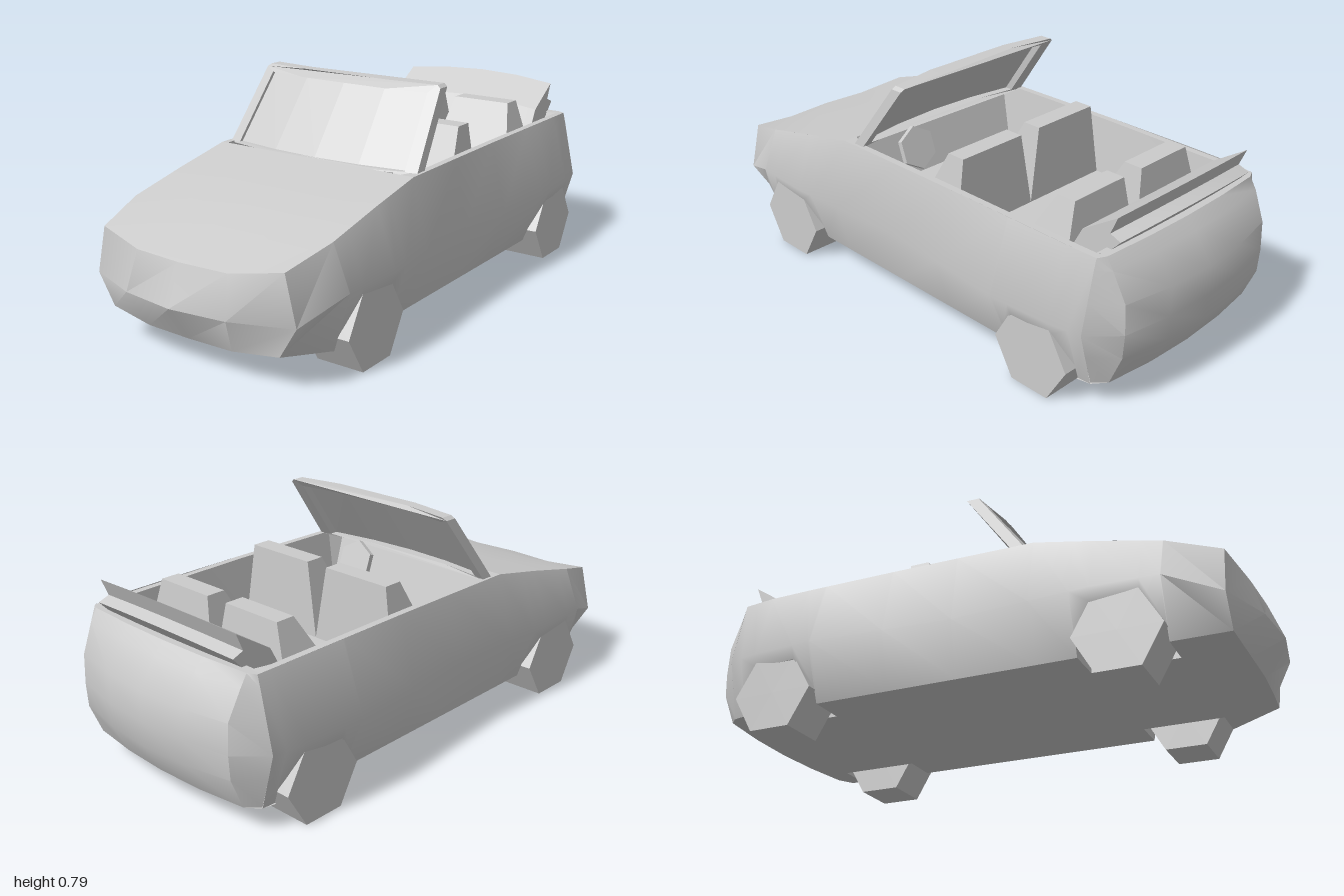
import * as THREE from 'three';
import { toCreasedNormals } from 'three/addons/utils/BufferGeometryUtils.js';

const material = new THREE.MeshStandardMaterial({ color: 0xcccccc, side: THREE.DoubleSide });

function add(parent, name, geometry) {
  const mesh = new THREE.Mesh(geometry, material);
  mesh.name = name;
  parent.add(mesh);
  return mesh;
}

// Skin a list of equally long rows of [x, y, z] points.
function skin(rows, crease = 0.8) {
  const n = rows[0].length, index = [];
  for (let i = 0; i < rows.length - 1; i++) {
    for (let j = 0; j < n - 1; j++) {
      const a = i * n + j, b = a + n;
      index.push(a, b, a + 1, a + 1, b, b + 1);
    }
  }
  const g = new THREE.BufferGeometry();
  g.setAttribute('position', new THREE.Float32BufferAttribute(rows.flat(2), 3));
  g.setIndex(index);
  return toCreasedNormals(g, crease);
}

// Body sections: z, rim x, rim y, widest x, widest y, sill x, sill y
const SECTIONS = [
  [0.9, 0.37, 0.385, 0.41, 0.22, 0.345, 0.115],
  [0.72, 0.41, 0.435, 0.47, 0.285, 0.41, 0.085],
  [0.5, 0.41, 0.485, 0.482, 0.285, 0.41, 0.085],
  [0.28, 0.41, 0.53, 0.468, 0.285, 0.41, 0.085],
  [0, 0.41, 0.533, 0.45, 0.285, 0.41, 0.085],
  [-0.25, 0.41, 0.535, 0.468, 0.285, 0.41, 0.085],
  [-0.52, 0.41, 0.535, 0.49, 0.285, 0.41, 0.085],
  [-0.73, 0.41, 0.535, 0.48, 0.285, 0.41, 0.085],
  [-0.87, 0.40, 0.53, 0.455, 0.285, 0.40, 0.085],
];
function section(z) {
  let i = 0;
  while (i < SECTIONS.length - 2 && z < SECTIONS[i + 1][0]) i++;
  const a = SECTIONS[i], b = SECTIONS[i + 1], t = (a[0] - z) / (a[0] - b[0]);
  return a.map((v, k) => v + (b[k] - v) * t);
}

const WHEEL_Z = [0.57, -0.675];
const ARCH = [[0.148, 0.085], [0.147, 0.14], [0.08, 0.24], [-0.08, 0.24], [-0.147, 0.14], [-0.148, 0.085]];
const WELL = 0.28;

// One flank, with the lower edge lifted over the wheels and wells behind it
function flank(s) {
  const stations = SECTIONS.map(r => [r[0], 0])
    .filter(([z]) => WHEEL_Z.every(w => Math.abs(z - w) > 0.148));
  for (const w of WHEEL_Z) for (const [dz, y] of ARCH) stations.push([w + dz, y]);
  stations.sort((a, b) => b[0] - a[0]);
  return skin(stations.map(([z, arch]) => {
    const [, rx, ry, mx, my, sx, sy] = section(z);
    const low = Math.max(arch, sy), x = sx + (mx - sx) * (low - sy) / (my - sy);
    const inner = arch ? WELL : x;
    return [[rx, ry, z], [mx, my, z], [x, low, z], [inner, low, z], [inner, sy, z]]
      .map(p => [p[0] * s, p[1], p[2]]);
  }));
}

const COLS = [-1, -0.5, 0, 0.5, 1];
const flat = (hw, y, z) => COLS.map(f => [f * hw, y, z]);
// Bowed row: half width, y and z at centre, y and z at the ends
const bow = (hw, yc, zc, ye, ze) =>
  COLS.map(f => [f * hw, Math.abs(f) < 1 ? yc : ye, zc + (ze - zc) * f * f]);

function buildBody(g) {
  add(g, 'leftFlank', flank(1));
  add(g, 'rightFlank', flank(-1));

  // Nose and hood
  const noseTop = bow(0.37, 0.355, 0.95, 0.385, 0.9);
  const noseLow = bow(0.345, 0.095, 0.92, 0.115, 0.9);
  add(g, 'nose', skin([noseTop, bow(0.41, 0.22, 1, 0.22, 0.9), noseLow]));
  add(g, 'hood', skin([flat(0.41, 0.53, 0.28), flat(0.41, 0.485, 0.5), flat(0.41, 0.435, 0.72), noseTop]));

  // Tail, with corner columns joining the flanks
  const tail = [
    [0.37, 0.53, -0.9, -0.885, 0.40], [0.37, 0.49, -0.935, -0.91, 0.41], [0.36, 0.39, -1, -0.955, 0.432],
    [0.36, 0.285, -1, -0.96, 0.455], [0.36, 0.2, -1, -0.955, 0.432], [0.36, 0.09, -0.94, -0.91, 0.40],
  ].map(([hw, y, zc, ze, cx]) => [[-cx, y, -0.87], ...bow(hw, y, zc, y, ze), [cx, y, -0.87]]);
  add(g, 'tail', skin(tail, 0.6));
  add(g, 'rearDeck', skin([tail[0].map(p => [p[0], 0.53, -0.85]), tail[0]]));

  // Underside, narrowed between the wheels
  const floor = [noseLow];
  for (const w of WHEEL_Z) {
    for (const [dz, hw] of [[0.148, 0.41], [0.148, WELL], [-0.148, WELL], [-0.148, 0.41]]) {
      floor.push(flat(hw, 0.085, w + dz));
    }
  }
  floor.push(flat(0.40, 0.085, -0.87), bow(0.36, 0.09, -0.94, 0.09, -0.91));
  add(g, 'underside', skin(floor));

  // Open cabin tub with its rim
  const tub = [[0.28, 0.53], [0.22, 0.33], [0, 0.33], [-0.25, 0.33], [-0.8, 0.33], [-0.86, 0.53]].map(([z, y]) => {
    const [, rx, ry] = section(z);
    const half = [[rx, ry, z], [rx - 0.025, ry, z], [0.36, y, z]];
    return [...half, ...half.map(p => [-p[0], p[1], p[2]]).reverse()];
  });
  add(g, 'cabinTub', skin(tub, 0.3));
}

// Raked windscreen: shapes drawn in x/y, then sheared back and bowed
function rake(geometry) {
  const p = geometry.attributes.position;
  for (let i = 0; i < p.count; i++) {
    const x = p.getX(i), y = p.getY(i);
    p.setZ(i, 0.285 - (y - 0.53) * 0.75 - 0.28 * x * x - p.getZ(i));
  }
  geometry.computeVertexNormals();
  return geometry;
}
function buildWindscreen(g) {
  const outline = pts => [...pts, ...pts.map(([x, y]) => [-x, y]).reverse()].map(p => new THREE.Vector2(...p));
  const shape = new THREE.Shape(outline([[0.2, 0.525], [0.4, 0.525], [0.372, 0.78], [0.358, 0.79], [0.18, 0.792]]));
  shape.holes.push(new THREE.Path(outline([[0.2, 0.532], [0.355, 0.532], [0.333, 0.765], [0.18, 0.765]])));
  add(g, 'windscreenFrame', rake(new THREE.ExtrudeGeometry(shape, { depth: 0.045, bevelEnabled: false })));
  const glass = [0.53, 0.766].map(y => flat(y < 0.6 ? 0.357 : 0.335, y, 0.015));
  add(g, 'windscreenGlass', rake(skin(glass)));
}

// Tapered seat back: base and top given as [x0, x1, zBack, zFront]
function seat(base, top, s) {
  const geo = new THREE.BoxGeometry(1, 1, 1).toNonIndexed(), p = geo.attributes.position;
  for (let i = 0; i < p.count; i++) {
    const up = p.getY(i) > 0, r = up ? top : base, right = p.getX(i) * s > 0;
    p.setXYZ(i, s * r[right ? 1 : 0], up ? 0.6 : 0.33, r[p.getZ(i) > 0 ? 3 : 2]);
  }
  geo.computeVertexNormals();
  return geo;
}

export function createModel() {
  const car = new THREE.Group();
  car.name = 'convertibleCar';
  const body = new THREE.Group();
  body.name = 'body';
  car.add(body);
  buildBody(body);
  buildWindscreen(car);

  // Seats and wheels on both sides
  for (const s of [1, -1]) {
    const side = s > 0 ? 'left' : 'right';
    add(car, side + 'FrontSeat', seat([0, 0.36, -0.24, -0.02], [0.045, 0.32, -0.23, -0.16], s));
    add(car, side + 'RearSeat', seat([0, 0.36, -0.71, -0.46], [0.045, 0.28, -0.68, -0.61], s));
    WHEEL_Z.forEach((z, i) => {
      const tyre = new THREE.CylinderGeometry(0.15, 0.15, 0.175, 6).rotateZ(Math.PI / 2);
      add(car, side + (i ? 'RearWheel' : 'FrontWheel'), toCreasedNormals(tyre, 0.3))
        .position.set(s * 0.378, 0.13, z);
    });
  }

  // Steering wheel
  const steering = add(car, 'steeringWheel',
    toCreasedNormals(new THREE.CylinderGeometry(0.08, 0.08, 0.02, 6).rotateX(Math.PI / 2), 0.3));
  steering.position.set(0.18, 0.47, 0.16);
  steering.rotation.x = 0.35;

  // Two-bladed rear spoiler, bowed across its width
  const blade = [[-0.72, 0.46], [-0.78, 0.575], [-0.91, 0.66], [-0.885, 0.6], [-0.925, 0.585], [-0.87, 0.525], [-0.85, 0.46], [-0.72, 0.46]];
  const ribs = COLS.map(f => blade.map(([z, y]) => [f * 0.33, y - 0.02 * f * f, z + 0.025 * f * f]));
  add(car, 'spoiler', skin(ribs, 0.3));
  const end = new THREE.Shape(blade.slice(0, -1).map(([z, y]) => new THREE.Vector2(z + 0.025, y - 0.02)));
  for (const s of [1, -1]) {
    add(car, s > 0 ? 'leftSpoilerEnd' : 'rightSpoilerEnd',
      new THREE.ShapeGeometry(end).rotateY(-Math.PI / 2).translate(s * 0.33, 0, 0));
  }
  return car;
}
